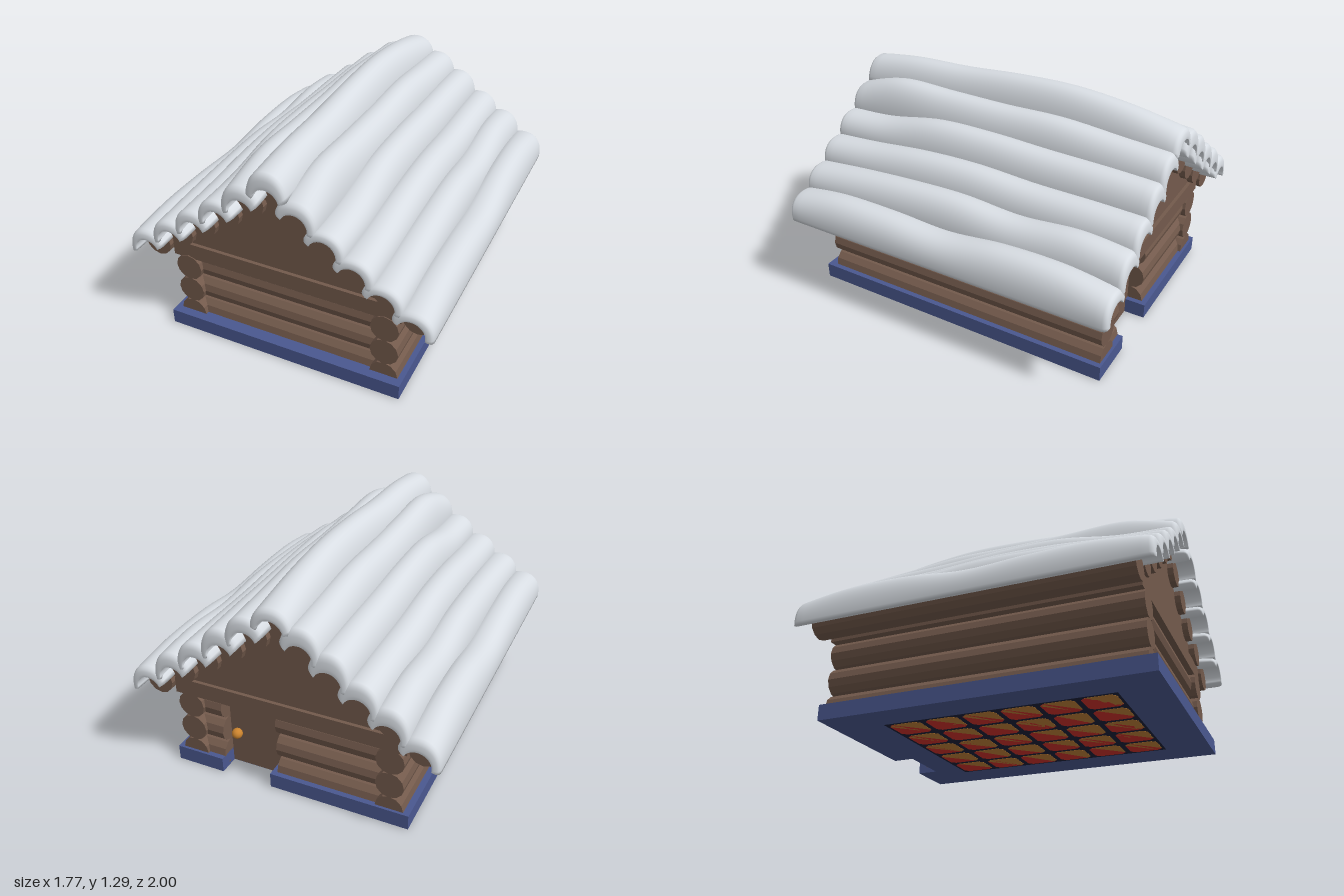
import * as THREE from 'three';

const mat = (name, color) => {
  const m = new THREE.MeshStandardMaterial({ color });
  m.name = name;
  return m;
};

export function createModel() {
  const wood = mat('brown wood', 0x735a4c);
  const stone = mat('blue base', 0x4a5890);
  const snow = mat('pale snow', 0xd8dde3);
  const brass = mat('orange brass', 0xcc842e);
  const red = mat('red cloth', 0xd0302a);
  const navy = mat('dark navy', 0x1b2038);
  const tan = mat('tan cloth', 0xc08036);

  const model = new THREE.Group();
  model.name = 'logCabin';
  const add = (name, geo, material, x = 0, y = 0, z = 0) => {
    const mesh = new THREE.Mesh(geo, material);
    mesh.name = name;
    mesh.position.set(x, y, z);
    model.add(mesh);
    return mesh;
  };
  const box = (name, material, x0, x1, y0, y1, z0, z1) =>
    add(name, new THREE.BoxGeometry(x1 - x0, y1 - y0, z1 - z0), material,
      (x0 + x1) / 2, (y0 + y1) / 2, (z0 + z1) / 2);
  // Faceted log with crisp sides
  const logGeo = (length) => {
    const g = new THREE.CylinderGeometry(0.08, 0.08, length, 12).toNonIndexed();
    g.computeVertexNormals();
    return g;
  };
  const logZ = (name, x, y, z0, z1) =>
    add(name, logGeo(z1 - z0).rotateX(Math.PI / 2), wood, x, y, (z0 + z1) / 2);
  const logX = (name, x0, x1, y, z) =>
    add(name, logGeo(x1 - x0).rotateZ(Math.PI / 2), wood, (x0 + x1) / 2, y, z);
  const shape = (points) => new THREE.Shape(points.map(([x, y]) => new THREE.Vector2(x, y)));

  // Base slab with a notch in front of the back door
  const doorL = 0.41, doorR = 0.105;
  const plan = shape([
    [-0.705, -0.94], [0.7, -0.94], [0.7, 0.9], [doorL, 0.9],
    [doorL, 0.78], [doorR, 0.78], [doorR, 0.9], [-0.705, 0.9],
  ]);
  add('baseSlab', new THREE.ExtrudeGeometry(plan, { depth: 0.088, bevelEnabled: false })
    .rotateX(-Math.PI / 2), stone, 0, 0.002, 0);

  // Patterned rug under the floor: navy backing, patches split corner to corner into red and tan
  box('rugBacking', navy, -0.51, 0.49, 0.001, 0.004, -0.61, 0.69);
  const cols = 5, rows = 6, w = 1.0 / cols, d = 1.3 / rows;
  const a = w * 0.43, b = d * 0.43, c = 0.025;
  const half = (s) => new THREE.ExtrudeGeometry(
    shape([[a, -b + c], [a, b - c], [a - c, b], [-a + c, b], [-a, b - c], [a - c, -b]].map(([x, y]) => [s * x, s * y])),
    { depth: 0.003, bevelEnabled: false }).rotateX(-Math.PI / 2);
  const halves = [half(1), half(-1)];
  for (let i = 0; i < cols; i++) {
    for (let j = 0; j < rows; j++) {
      halves.forEach((geo, k) => add('rugPatch', geo, k ? tan : red,
        -0.51 + (i + 0.5) * w, 0, -0.61 + (j + 0.5) * d));
    }
  }

  // Stacked wall logs; the back wall is split by the door
  for (const y of [0.09, 0.245, 0.4]) {
    for (const s of [-1, 1]) logZ('sideWallLog', s * 0.59, y, -0.885, 0.89);
    logX('frontWallLog', -0.58, 0.58, y, 0.79);
    logX('backWallLogLeft', doorL, 0.58, y, -0.79);
    logX('backWallLogRight', -0.58, doorR - 0.03, y, -0.79);
  }

  // Door and knob
  box('door', wood, doorR - 0.03, doorL, 0.005, 0.47, -0.782, -0.74);
  add('doorKnob', new THREE.SphereGeometry(0.031, 20, 14), brass, 0.36, 0.22, -0.805);

  // Ceiling beam and solid gable
  box('ceilingBeam', wood, -0.68, 0.68, 0.465, 0.56, -0.885, 0.885);
  const tri = shape([[-0.68, 0.555], [0.68, 0.555], [0, 1.06]]);
  add('gable', new THREE.ExtrudeGeometry(tri, { depth: 1.73, bevelEnabled: false }), wood, 0, 0, -0.865);

  // Snow roll: an arched section over a roof log, swept along z with varying height
  const zs = [1, 0.7, 0.35, 0, -0.35, -0.7, -1];
  const N = 18, K = 36, R = 0.117;
  function snowRoll(cx, cy, heights, fromDeg, toDeg) {
    const crest = new THREE.SplineCurve(heights.map((h, i) => new THREE.Vector2(zs[i], h)));
    const stations = [0, 0.003, 0.008, 0.015, 0.025];
    for (let k = 1; k < K; k++) stations.push(0.025 + 0.95 * k / K);
    stations.push(0.975, 0.985, 0.992, 0.997, 1);
    const M = 2 * (N + 1), pos = [], idx = [];
    for (const u of stations) {
      const p = crest.getPoint(u);
      const e = Math.min(u, 1 - u);
      const round = 0.25 + 0.75 * Math.sqrt(1 - (1 - Math.min(e / 0.03, 1)) ** 2);
      const outer = [], inner = [];
      for (let i = 0; i <= N; i++) {
        const t = THREE.MathUtils.degToRad(fromDeg + (toDeg - fromDeg) * i / N);
        const ct = Math.cos(t), st = Math.sin(t);
        const ix = 0.076 * ct, iy = 0.076 * st;
        const ox = R * Math.sign(ct) * Math.abs(ct) ** 0.9;
        const oy = (st < 0 ? R : p.y) * Math.sign(st) * Math.abs(st) ** 0.9;
        outer.push([cx + ix + (ox - ix) * round, cy + iy + (oy - iy) * round, p.x]);
        inner.unshift([cx + ix, cy + iy, p.x]);
      }
      for (const v of [...outer, ...inner]) pos.push(...v);
    }
    const last = (stations.length - 1) * M;
    for (let k = 0; k < stations.length - 1; k++) {
      for (let i = 0; i < M; i++) {
        const p = k * M + i, q = k * M + (i + 1) % M;
        idx.push(p, p + M, q, q, p + M, q + M);
      }
    }
    // End caps join the outer arc to the inner arc
    for (let i = 0; i < N; i++) {
      const o = i, o1 = i + 1, n = M - 1 - i, n1 = M - 2 - i;
      idx.push(o, o1, n1, o, n1, n);
      idx.push(last + o, last + n1, last + o1, last + o, last + n, last + n1);
    }
    const g = new THREE.BufferGeometry();
    g.setAttribute('position', new THREE.Float32BufferAttribute(pos, 3));
    g.setIndex(idx);
    g.computeVertexNormals();
    return g;
  }

  // Roof logs with their snow, ridge first, then mirrored down both slopes
  const courses = [
    { x: 0, y: 1.055, h: [0.16, 0.195, 0.205, 0.23, 0.235, 0.195, 0.13] },
    { x: 0.15, y: 0.955, h: [0.13, 0.21, 0.205, 0.2, 0.205, 0.175, 0.15] },
    { x: 0.3, y: 0.845, h: [0.12, 0.135, 0.195, 0.2, 0.185, 0.175, 0.16] },
    { x: 0.455, y: 0.735, h: [0.12, 0.14, 0.175, 0.185, 0.165, 0.16, 0.15] },
    { x: 0.61, y: 0.63, h: [0.115, 0.145, 0.17, 0.18, 0.155, 0.18, 0.15] },
    { x: 0.77, y: 0.525, h: [0.115, 0.155, 0.155, 0.138, 0.175, 0.175, 0.13] },
  ];
  for (const { x, y, h } of courses) {
    for (const s of x ? [1, -1] : [1]) {
      logZ('roofLog', s * x, y, -0.9, 0.9);
      const [from, to] = !x ? [8, 172] : s > 0 ? [-13, 155] : [25, 193];
      add('snowRoll', snowRoll(s * x, y, s > 0 ? h : h.map((v) => v + 0.01), from, to), snow);
    }
  }
  return model;
}
